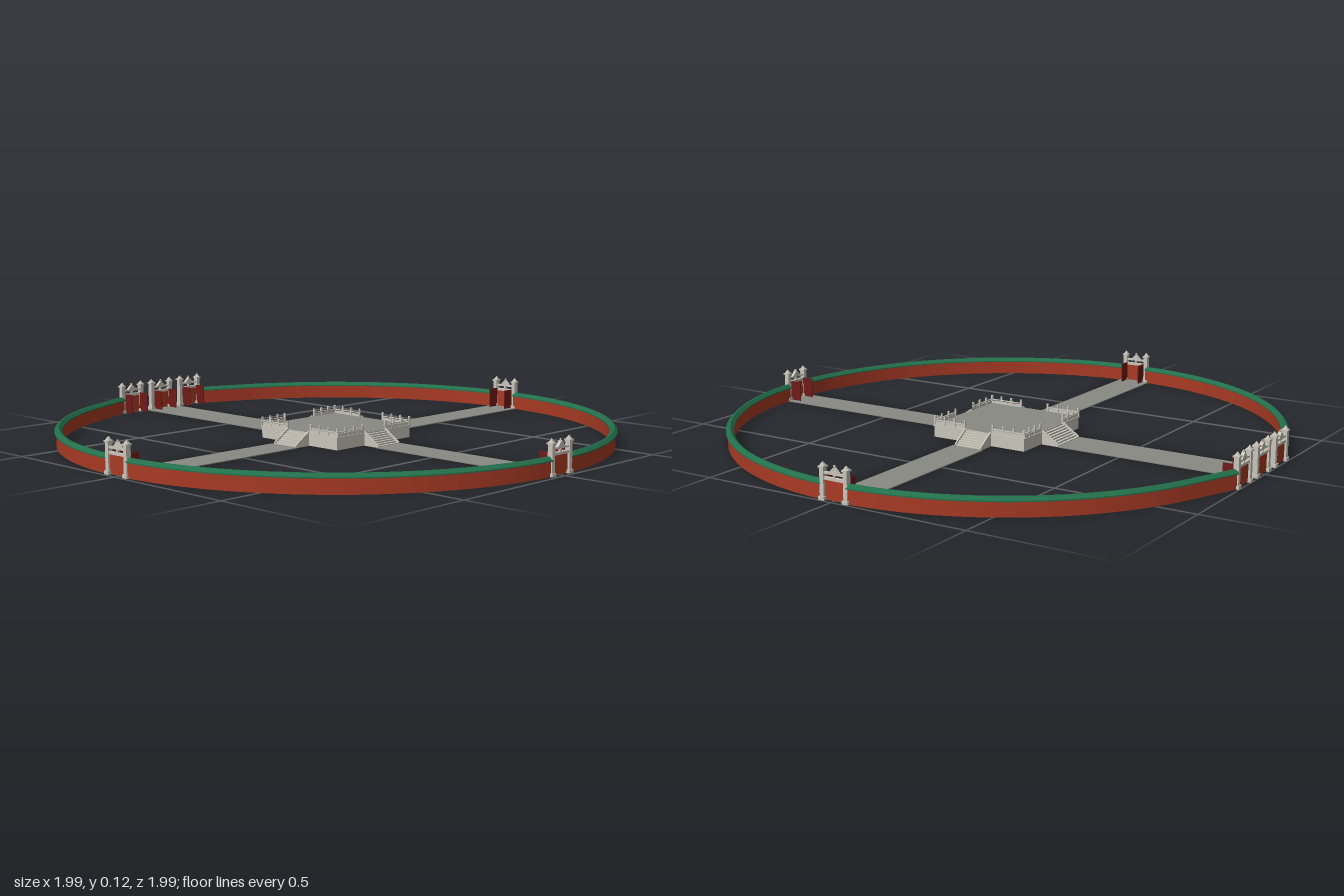
import * as THREE from 'three';

const mat = (name, color, side = THREE.FrontSide) => {
  const m = new THREE.MeshStandardMaterial({ color, side });
  m.name = name;
  return m;
};

export function createModel() {
  const red = mat('wall red', 0xa83a24, THREE.DoubleSide);
  const darkRed = mat('door red', 0x701a18);
  const green = mat('roof green', 0x23704c, THREE.DoubleSide);
  const stone = mat('pale stone', 0xc9c5ba);
  const paving = mat('grey paving', 0x8a8a84);

  const model = new THREE.Group();
  model.name = 'walledCourt';
  model.position.set(-0.005, 0, -0.002);

  const add = (parent, name, geo, material, x = 0, y = 0, z = 0) => {
    const mesh = new THREE.Mesh(geo, material);
    mesh.name = name;
    mesh.position.set(x, y, z);
    parent.add(mesh);
    return mesh;
  };
  // box standing on height y
  const box = (parent, name, material, w, h, d, x, y, z) =>
    add(parent, name, new THREE.BoxGeometry(w, h, d), material, x, y + h / 2, z);

  // sweeps a closed [outward, up] section along a ground path, with flat facets
  const sweep = (path, section) => {
    const rings = path.map((p, i) => {
      const a = path[Math.max(i - 1, 0)], b = path[Math.min(i + 1, path.length - 1)];
      const t = b.clone().sub(a).normalize();
      return section.map(([o, y]) => [p.x + t.y * o, y, p.y - t.x * o]);
    });
    const pos = [], n = section.length;
    for (let i = 0; i < rings.length - 1; i++) {
      for (let j = 0; j < n; j++) {
        const k = (j + 1) % n;
        const p = rings[i][j], q = rings[i][k], r = rings[i + 1][j], s = rings[i + 1][k];
        pos.push(...p, ...q, ...r, ...q, ...s, ...r);
      }
    }
    const g = new THREE.BufferGeometry();
    g.setAttribute('position', new THREE.Float32BufferAttribute(pos, 3));
    g.computeVertexNormals();
    return g;
  };

  // ring wall: two quarters on the +z side, mirrored to the -z side
  const R = 0.98, gap = 0.05;
  const arc = (from, to, steps) => Array.from({ length: steps + 1 }, (_, i) => {
    const a = from + (to - from) * i / steps;
    return new THREE.Vector2(R * Math.cos(a), R * Math.sin(a));
  });
  const quarters = [
    arc(gap, Math.PI / 2 - gap, 28),
    [...arc(Math.PI / 2 + gap, 2.71, 22), new THREE.Vector2(-0.98, 0.195)],
  ];
  const wallSection = [[-0.008, 0], [0.008, 0], [0.008, 0.053], [-0.008, 0.053]];
  const roofSection = [[-0.014, 0.05], [0.014, 0.05], [0.014, 0.054], [0.003, 0.065], [-0.003, 0.065], [-0.014, 0.054]];
  for (const q of quarters) {
    const mirrored = q.map(p => new THREE.Vector2(p.x, -p.y)).reverse();
    for (const path of [q, mirrored]) {
      add(model, 'ringWall', sweep(path, wallSection), red);
      add(model, 'wallRoof', sweep(path, roofSection), green);
    }
  }

  // gate: two capped posts, lintel with a small gable, doors
  const gableShape = new THREE.Shape([
    new THREE.Vector2(-0.02, 0), new THREE.Vector2(0.02, 0), new THREE.Vector2(0, 0.02),
  ]);
  const gableGeo = new THREE.ExtrudeGeometry(gableShape, { depth: 0.012, bevelEnabled: false });
  gableGeo.translate(0, 0, -0.006);
  const capGeo = new THREE.ConeGeometry(0.012, 0.014, 4, 1).rotateY(Math.PI / 4);
  const addGate = (x, z, turn) => {
    const gate = new THREE.Group();
    gate.name = 'gate';
    gate.position.set(x, 0, z);
    gate.rotation.y = turn;
    for (const s of [-1, 1]) {
      box(gate, 'gatePostBase', stone, 0.022, 0.012, 0.026, s * 0.046, 0, 0);
      box(gate, 'gatePost', stone, 0.015, 0.098, 0.018, s * 0.046, 0.005, 0);
      box(gate, 'postCapital', stone, 0.021, 0.006, 0.024, s * 0.046, 0.103, 0);
      add(gate, 'postCap', capGeo, stone, s * 0.046, 0.116, 0);
      box(gate, 'openDoor', darkRed, 0.003, 0.073, 0.046, s * 0.037, 0.003, -0.03);
    }
    box(gate, 'closedDoor', red, 0.08, 0.064, 0.003, 0, 0.002, 0);
    box(gate, 'lintel', stone, 0.084, 0.009, 0.012, 0, 0.066, 0);
    box(gate, 'upperBeam', stone, 0.084, 0.006, 0.012, 0, 0.085, 0);
    box(gate, 'beamStrut', stone, 0.006, 0.012, 0.008, 0, 0.074, 0);
    add(gate, 'gable', gableGeo, stone, 0, 0.091, 0);
    add(gate, 'gableFinial', new THREE.SphereGeometry(0.004, 8, 6), stone, 0, 0.113, 0);
    model.add(gate);
  };
  addGate(0, 0.982, 0);
  addGate(0, -0.982, Math.PI);
  addGate(0.982, 0, Math.PI / 2);
  for (const z of [-0.147, 0, 0.147]) addGate(-0.982, z, -Math.PI / 2);

  // central terrace, open underneath
  const H = 0.19, top = 0.046;
  box(model, 'terraceFloor', paving, 2 * H - 0.008, 0.005, 2 * H - 0.008, 0, top - 0.004, 0);

  // four sides: skirt, balustrade, stairs and road, built facing +z and turned
  const sides = [
    { turn: 0, road: 0.125, stair: 0.108 },
    { turn: Math.PI / 2, road: 0.125, stair: 0.108 },
    { turn: Math.PI, road: 0.125, stair: 0.108 },
    { turn: -Math.PI / 2, road: 0.155, stair: 0.144 },
  ];
  for (const { turn, road, stair } of sides) {
    const side = new THREE.Group();
    side.name = 'terraceSide';
    side.rotation.y = turn;
    model.add(side);

    box(side, 'terraceSkirt', stone, 2 * H - 0.006, top, 0.006, 0, 0, H - 0.006);
    box(side, 'skirtCornice', stone, 2 * H, 0.006, 0.006, 0, top - 0.006, H - 0.003);

    const railLength = H - stair / 2;
    for (const s of [-1, 1]) {
      const mid = s * (stair / 2 + railLength / 2);
      box(side, 'railPanel', stone, railLength, 0.011, 0.003, mid, top, H - 0.005);
      box(side, 'handRail', stone, railLength, 0.003, 0.006, mid, 0.06, H - 0.005);
      for (let i = 0; i < 4; i++) {
        const x = s * (stair / 2 + 0.004 + (railLength - 0.008) * i / 3);
        box(side, 'railPost', stone, 0.006, 0.03, 0.006, x, top, H - 0.005);
      }
      // sloping cheek beside the stairs
      const cheek = new THREE.ExtrudeGeometry(new THREE.Shape([
        new THREE.Vector2(0, 0), new THREE.Vector2(0.066, 0),
        new THREE.Vector2(0.066, 0.008), new THREE.Vector2(0, top + 0.006),
      ]), { depth: 0.005, bevelEnabled: false });
      cheek.translate(0, 0, -0.0025).rotateY(-Math.PI / 2);
      add(side, 'stairCheek', cheek, stone, s * (stair / 2 - 0.002), 0, H);
    }

    const steps = 7, run = 0.065 / steps;
    for (let i = 0; i < steps; i++) {
      box(side, 'stairStep', stone, stair - 0.008, top * (steps - i) / (steps + 1), run, 0, 0, H + run * (i + 0.5));
    }

    box(side, 'road', paving, road, 0.003, 0.725, 0, 0, 0.255 + 0.3625);
  }

  return model;
}
